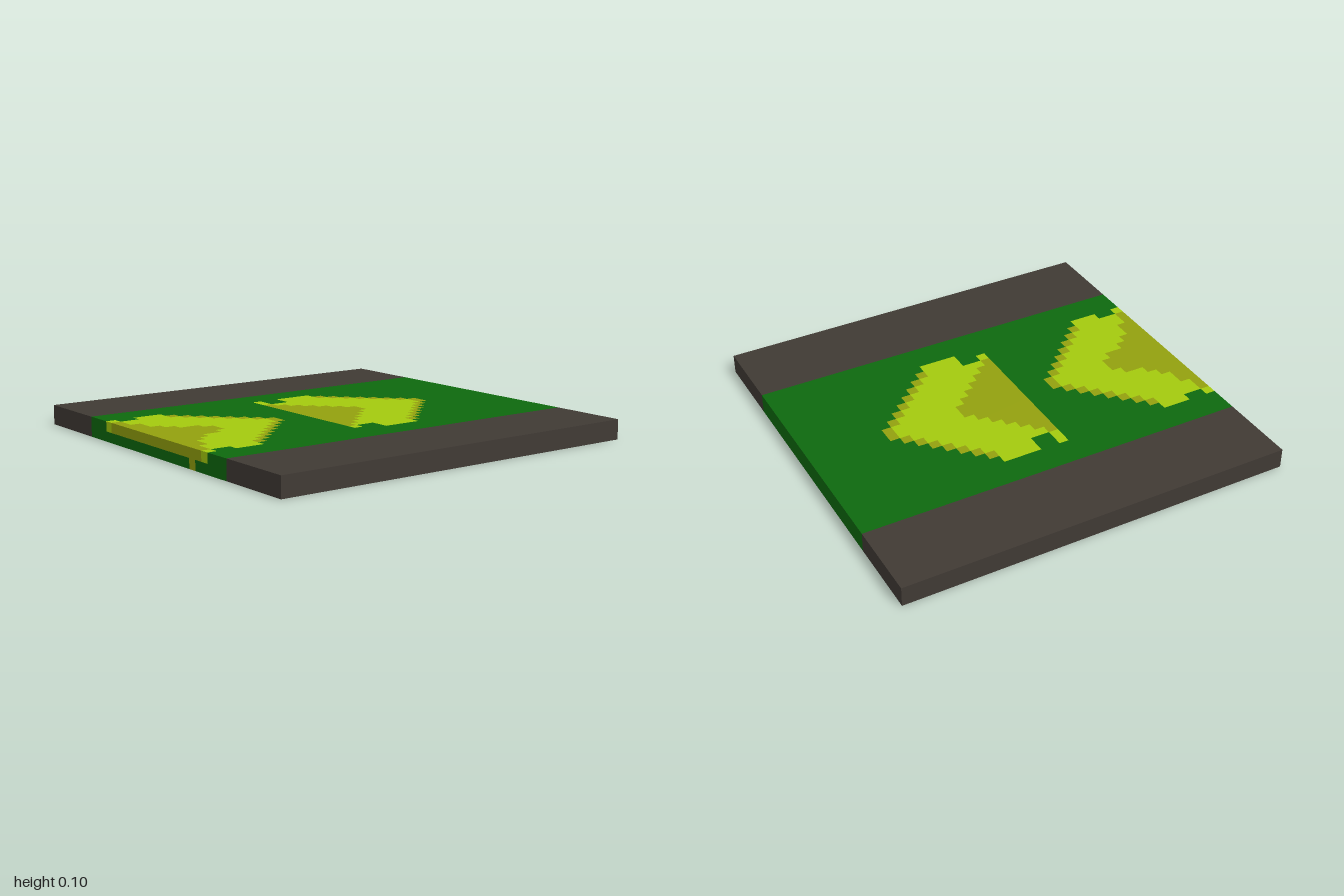
import * as THREE from 'three';
import { mergeGeometries } from 'three/addons/utils/BufferGeometryUtils.js';

const CELL = 0.05, COLS = 40, ROWS = 24; // square mosaic grid of the middle lane

const paint = (name, color) => {
  const m = new THREE.MeshStandardMaterial({ color });
  m.name = name;
  return m;
};

// Two stepped arrows pointing to +x. Columns are indexed from x = -1.
// inner[d] is where the lime band starts, d counts rows from the outer edge.
const ARROWS = [
  { back: 0, tip: 6, body: 3, notch: [1, 3], notchRows: 1, inner: [0, 1, 1, 2, 2, 3, 4, 6, 7] },
  { back: 17, tip: 24, body: 20, notch: [18, 20], notchRows: 2, inner: [17, 17, 18, 19, 20, 21, 22, 23, 24] },
];

const rowDepth = (j) => Math.min(j - 3, 20 - j); // negative outside the arrows

function topColor(i, j) {
  const d = rowDepth(j);
  if (d < 0) return 'green';
  for (const a of ARROWS) {
    const end = a.tip + d;
    if (i < a.back || i >= end) continue;
    if (d < a.notchRows && i >= a.notch[0] && i < a.notch[1]) return 'green';
    if (a.back > 0 && j === 20 && i === a.back) return 'green';
    if (i < a.inner[d]) return 'olive';
    return d > 0 && i === end - 1 ? 'olive' : 'lime';
  }
  return 'green';
}

function bottomColor(i, j) {
  const d = rowDepth(j);
  if (i === 0 && j === 18) return 'olive';
  if (d >= 0 && ARROWS.some((a) => i >= a.body && i < a.tip + d)) return 'grey';
  return 'green';
}

export function createModel() {
  const group = new THREE.Group();
  group.name = 'arrowTile';
  const materials = {
    brown: paint('brown', 0x403a34),
    green: paint('green', 0x0d690e),
    lime: paint('lime', 0xa3ca0d),
    olive: paint('olive', 0x93a00e),
    grey: paint('grey', 0x696769),
  };

  // Side rails
  for (const [name, z] of [['frontRail', 0.8], ['backRail', -0.8]]) {
    const rail = new THREE.Mesh(new THREE.BoxGeometry(2, 0.1, 0.4), materials.brown);
    rail.name = name;
    rail.position.set(0, 0.05, z);
    group.add(rail);
  }

  // Middle lane: flush coloured panels, one per run of equal cells
  const panels = { green: [], lime: [], olive: [], grey: [] };
  const runs = (count, colorAt, emit) => {
    for (let start = 0, k = 1; k <= count; k++) {
      if (k < count && colorAt(k) === colorAt(start)) continue;
      emit(colorAt(start), start, k);
      start = k;
    }
  };

  // Top and underside
  for (const [colorAt, y, turn] of [[topColor, 0.1, -1], [bottomColor, 0, 1]]) {
    for (let j = 0; j < ROWS; j++) {
      runs(COLS, (i) => colorAt(i, j), (color, a, b) => {
        const g = new THREE.PlaneGeometry((b - a) * CELL, CELL);
        g.rotateX(turn * Math.PI / 2);
        g.translate(-1 + (a + b) / 2 * CELL, y, -0.6 + (j + 0.5) * CELL);
        panels[color].push(g);
      });
    }
  }

  // Lane ends, in an upper and a lower layer
  for (const side of [-1, 1]) {
    const column = side < 0 ? 0 : COLS - 1;
    for (const [colorAt, y] of [[topColor, 0.075], [bottomColor, 0.025]]) {
      runs(ROWS, (j) => colorAt(column, j), (color, a, b) => {
        const g = new THREE.PlaneGeometry((b - a) * CELL, CELL);
        g.rotateY(side * Math.PI / 2);
        g.translate(side, y, -0.6 + (a + b) / 2 * CELL);
        panels[color].push(g);
      });
    }
  }

  const names = { green: 'lane', lime: 'arrowBands', olive: 'arrowShade', grey: 'arrowUndersides' };
  for (const [color, list] of Object.entries(panels)) {
    const mesh = new THREE.Mesh(mergeGeometries(list), materials[color]);
    mesh.name = names[color];
    group.add(mesh);
  }
  return group;
}
